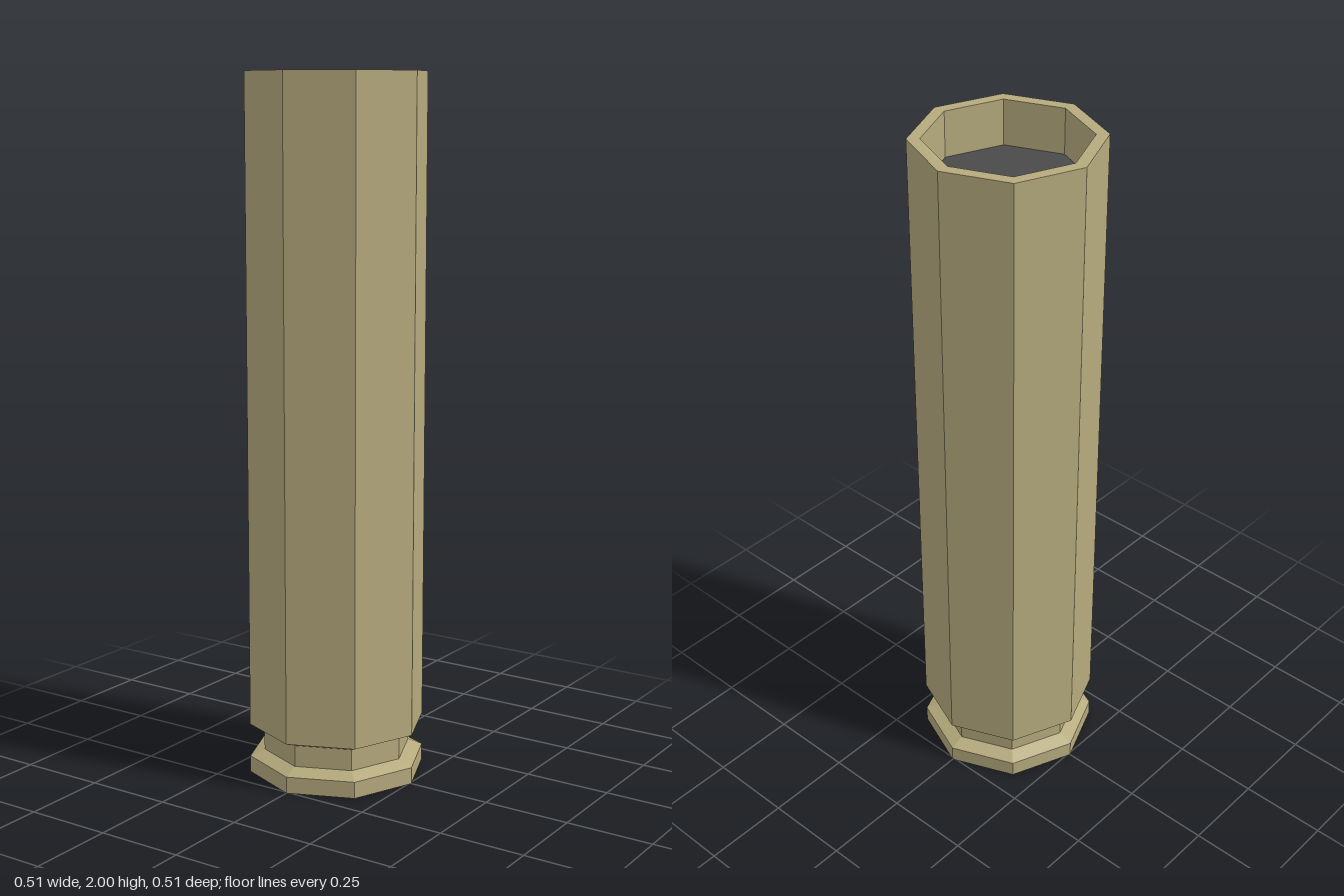
import * as THREE from 'three';

const SIDES = 8;
const OUTER = 0.256, INNER = 0.221, NECK = 0.214;
const FLOOR_Y = 1.87;

// Faceted eight-sided solid of revolution from [radius, y] pairs
function turned(name, profile, material) {
  const points = profile.map(([r, y]) => new THREE.Vector2(r, y));
  const geometry = new THREE.LatheGeometry(points, SIDES).toNonIndexed();
  geometry.computeVertexNormals();
  const mesh = new THREE.Mesh(geometry, material);
  mesh.name = name;
  return mesh;
}

export function createModel() {
  const brass = new THREE.MeshStandardMaterial({ color: 0xb5aa7d, flatShading: true });
  const dark = new THREE.MeshStandardMaterial({ color: 0x4a4a4a, flatShading: true });

  const group = new THREE.Group();
  group.name = 'casing';

  // Closed base with its bevelled rim
  group.add(turned('baseRim', [[0, 0], [OUTER, 0], [OUTER, 0.048], [NECK, 0.066]], brass));

  // Recessed groove above the rim
  group.add(turned('groove', [[NECK, 0.066], [NECK, 0.128], [OUTER, 0.145]], brass));

  // Long tube, flat lip and short inner wall
  group.add(turned('body', [[OUTER, 0.145], [OUTER, 2], [INNER, 2], [INNER, FLOOR_Y]], brass));

  // Dark floor recessed in the mouth
  const floor = new THREE.Mesh(new THREE.CircleGeometry(INNER, SIDES), dark);
  floor.name = 'mouthFloor';
  floor.rotation.x = -Math.PI / 2;
  floor.position.y = FLOOR_Y;
  group.add(floor);

  return group;
}
